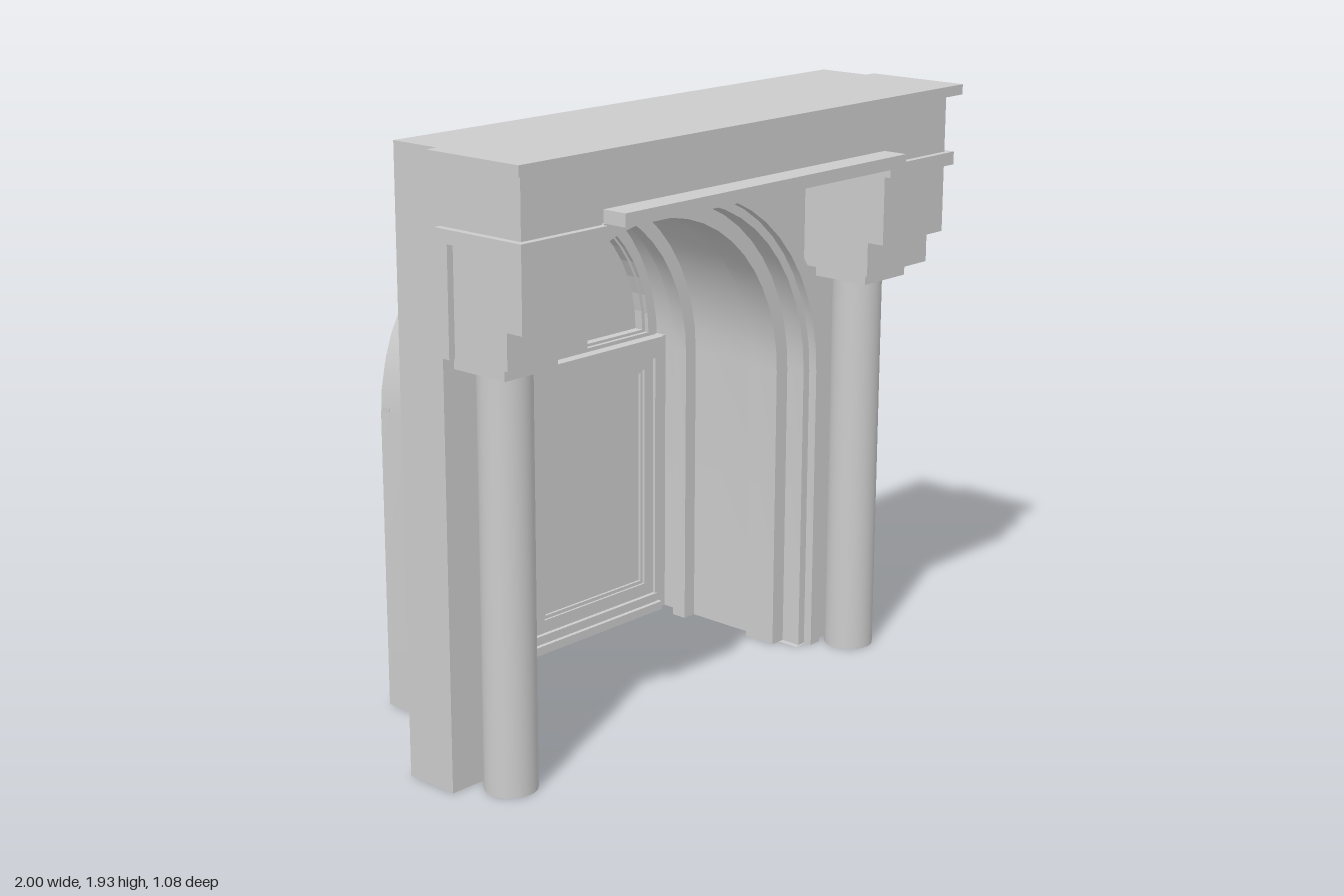
import * as THREE from 'three';
import { toCreasedNormals } from 'three/addons/utils/BufferGeometryUtils.js';

const material = new THREE.MeshStandardMaterial({ color: 0xcccccc, side: THREE.DoubleSide });
const SPRING = 0.97; // height at which the arches start to curve
const SEGMENTS = 24;

function add(parent, name, geometry) {
  const mesh = new THREE.Mesh(geometry, material);
  mesh.name = name;
  parent.add(mesh);
  return mesh;
}

// Box between two corners; keep lists the sides that stay (px nx py ny pz nz)
function box(parent, name, [x0, x1], [y0, y1], [z0, z1], keep) {
  const g = new THREE.BoxGeometry(x1 - x0, y1 - y0, z1 - z0);
  g.translate((x0 + x1) / 2, (y0 + y1) / 2, (z0 + z1) / 2);
  if (keep) {
    const sides = ['px', 'nx', 'py', 'ny', 'pz', 'nz'];
    const index = Array.from(g.index.array);
    g.setIndex(index.filter((_, i) => keep.includes(sides[Math.floor(i / 6)])));
    g.clearGroups();
  }
  return add(parent, name, g);
}

// Outline of an arch: straight legs down to the base, half circle on top
function archPoints(r, base = 0, spring = SPRING) {
  const pts = [];
  if (base < spring) pts.push(new THREE.Vector2(r, base));
  for (let i = 0; i <= SEGMENTS; i++) {
    const a = (Math.PI * i) / SEGMENTS;
    pts.push(new THREE.Vector2(r * Math.cos(a), spring + r * Math.sin(a)));
  }
  if (base < spring) pts.push(new THREE.Vector2(-r, base));
  return pts;
}

// Sweeps a stepped profile of [radius, z] along the arch
function archSweep(profile) {
  const rows = profile.map(([r, z]) => archPoints(r).map((p) => [p.x, p.y, z]));
  const pos = [];
  for (let i = 0; i < rows.length - 1; i++) {
    for (let j = 0; j < rows[i].length - 1; j++) {
      const a = rows[i][j], b = rows[i][j + 1], c = rows[i + 1][j + 1], d = rows[i + 1][j];
      pos.push(...a, ...b, ...c, ...a, ...c, ...d);
    }
  }
  const g = new THREE.BufferGeometry();
  g.setAttribute('position', new THREE.Float32BufferAttribute(pos, 3));
  return toCreasedNormals(g, 0.5);
}

function extrude(shape, z0, z1) {
  const g = new THREE.ExtrudeGeometry(shape, { depth: z1 - z0, bevelEnabled: false });
  return g.translate(0, 0, z0);
}

// Half-round frame between an outer and an inner outline
function lunetteFrame(rOut, yOut, rIn, yIn) {
  const s = new THREE.Shape(archPoints(rOut, yOut, yOut));
  s.holes.push(new THREE.Path(archPoints(rIn, yIn, yIn)));
  return s;
}

// Rectangular frame of width w
function rectFrame(x0, x1, y0, y1, w) {
  const rect = (a, b, c, d) => [[a, c], [b, c], [b, d], [a, d]].map(([x, y]) => new THREE.Vector2(x, y));
  const s = new THREE.Shape(rect(x0, x1, y0, y1));
  s.holes.push(new THREE.Path(rect(x0 + w, x1 - w, y0 + w, y1 - w)));
  return s;
}

export function createModel() {
  const model = new THREE.Group();
  model.name = 'archedDoorway';

  // Front wall around the arch, stepping in under the side blocks
  const outline = [[-0.96, 0], [-0.72, 0]].map(([x, y]) => new THREE.Vector2(x, y));
  outline.push(...archPoints(0.72).reverse());
  for (const [x, y] of [[0.96, 0], [0.96, 1.34], [0.645, 1.34], [0.645, 1.715], [-0.645, 1.715], [-0.645, 1.34], [-0.96, 1.34]]) {
    outline.push(new THREE.Vector2(x, y));
  }
  outline.splice(1, 1);
  const wall = new THREE.ShapeGeometry(new THREE.Shape(outline)).translate(0, 0, 0.135);
  add(model, 'frontWall', wall);

  // Moulded archivolt, reveal and vaulted passage in one stepped sweep
  add(model, 'archPassage', archSweep([
    [0.735, 0.135], [0.735, 0.16], [0.69, 0.16], [0.69, 0.13], [0.66, 0.13], [0.66, 0.06],
    [0.605, 0.06], [0.605, -0.06], [0.638, -0.06], [0.638, -0.33], [0.588, -0.33],
    [0.588, -0.385], [0.638, -0.385], [0.638, -0.51],
  ]));

  // Hollow entablature, open at the back
  box(model, 'roof', [-0.96, 0.96], [1.9, 1.93], [-0.05, 0.13], ['px', 'nx', 'py']);
  box(model, 'cornice', [-1, 1], [1.897, 1.93], [0.13, 0.49]);
  box(model, 'frieze', [-0.96, 0.96], [1.715, 1.9], [0.13, 0.455], ['px', 'nx', 'pz']);
  box(model, 'recessCeiling', [-0.645, 0.645], [1.715, 1.75], [0.135, 0.455], ['ny']);
  box(model, 'centreLedge', [-0.64, 0.64], [1.715, 1.755], [0.45, 0.54]);

  for (const s of [1, -1]) {
    const side = new THREE.Group();
    side.name = s > 0 ? 'leftPier' : 'rightPier';
    model.add(side);
    const X = (a, b) => (s > 0 ? [a, b] : [-b, -a]);
    const outer = s > 0 ? 'px' : 'nx';

    // Pier shell
    box(side, 'pierSide', X(0.9, 0.96), [0, 1.93], [-0.05, 0.135], [outer]);
    box(side, 'pierInnerSide', X(0.6, 0.64), [0, 1.34], [-0.05, 0.06], [outer]);
    box(side, 'pierBase', X(0.64, 0.96), [0, 0.02], [-0.05, 0.135], ['ny']);

    // Block over the column, with its mouldings
    box(side, 'upperBlock', X(0.645, 0.96), [1.45, 1.715], [0.135, 0.455], ['px', 'nx', 'pz']);
    box(side, 'blockStep', X(0.645, 0.96), [1.45, 1.47], [0.395, 0.455], ['ny']);
    box(side, 'lowerBlock', X(0.645, 0.96), [1.34, 1.45], [0.135, 0.395], ['px', 'nx', 'pz', 'ny']);
    box(side, 'blockBand', X(0.645, 0.982), [1.67, 1.712], [0.453, 0.477]);
    box(side, 'sideBand', X(0.955, 0.982), [1.67, 1.712], [0.135, 0.477]);
    box(side, 'sideStrip', X(0.955, 0.982), [1.34, 1.67], [0.135, 0.185]);

    // Column and capital
    const shaft = add(side, 'column', new THREE.CylinderGeometry(0.082, 0.082, 1.295, 32));
    shaft.position.set(s * 0.81, 0.6475, 0.228);
    box(side, 'capital', X(0.708, 0.918), [1.293, 1.342], [0.135, 0.34]);
  }

  // Back wall with a half-round opening
  const back = new THREE.Shape(archPoints(0.638));
  back.holes.push(new THREE.Path(archPoints(0.59, 1.005, 1.005).map((p) => new THREE.Vector2(p.x, 1.005 + (p.y - 1.005) * 0.93))));
  add(model, 'backWall', new THREE.ShapeGeometry(back).translate(0, 0, -0.51));

  // Half-round window: frame, thin inner bead and panel
  const lunette = new THREE.Group();
  lunette.name = 'fanlight';
  model.add(lunette);
  const flatten = (g) => g.translate(0, -1, 0).scale(1, 0.94, 1).translate(0, 1, 0);
  add(lunette, 'fanlightFrame', flatten(extrude(lunetteFrame(0.605, 1.0, 0.54, 1.035), -0.54, -0.49)));
  add(lunette, 'fanlightBead', flatten(extrude(lunetteFrame(0.57, 1.015, 0.555, 1.025), -0.49, -0.475)));
  add(lunette, 'fanlightPanel', flatten(
    new THREE.ShapeGeometry(new THREE.Shape(archPoints(0.56, 1.02, 1.02))).translate(0, 0, -0.522)));

  // Double door with framed panels, transom and threshold
  const door = new THREE.Group();
  door.name = 'doubleDoor';
  model.add(door);
  box(door, 'transom', [-0.6, 0.6], [0.935, 1.005], [-0.51, -0.45]);
  box(door, 'threshold', [-0.6, 0.6], [0, 0.03], [-0.51, -0.45]);
  box(door, 'bottomRail', [-0.59, 0.59], [0.03, 0.06], [-0.51, -0.465]);
  for (const s of [1, -1]) {
    const [x0, x1] = s > 0 ? [0, 0.585] : [-0.585, 0];
    const [p0, p1] = s > 0 ? [0.04, 0.54] : [-0.54, -0.04];
    const leaf = new THREE.Shape([[x0, 0.06], [x1, 0.06], [x1, 0.935], [x0, 0.935]].map(([x, y]) => new THREE.Vector2(x, y)));
    leaf.holes.push(new THREE.Path([[p0, 0.105], [p1, 0.105], [p1, 0.892], [p0, 0.892]].map(([x, y]) => new THREE.Vector2(x, y))));
    add(door, 'doorLeaf', extrude(leaf, -0.509, -0.48));
    add(door, 'panelBead', extrude(rectFrame(p0, p1, 0.105, 0.892, 0.012), -0.509, -0.488));
    box(door, 'doorPanel', [p0, p1], [0.105, 0.892], [-0.509, -0.497]);
    box(door, 'doorJamb', s > 0 ? [0.585, 0.637] : [-0.637, -0.585], [0, 1.0], [-0.509, -0.47]);
  }
  return model;
}
